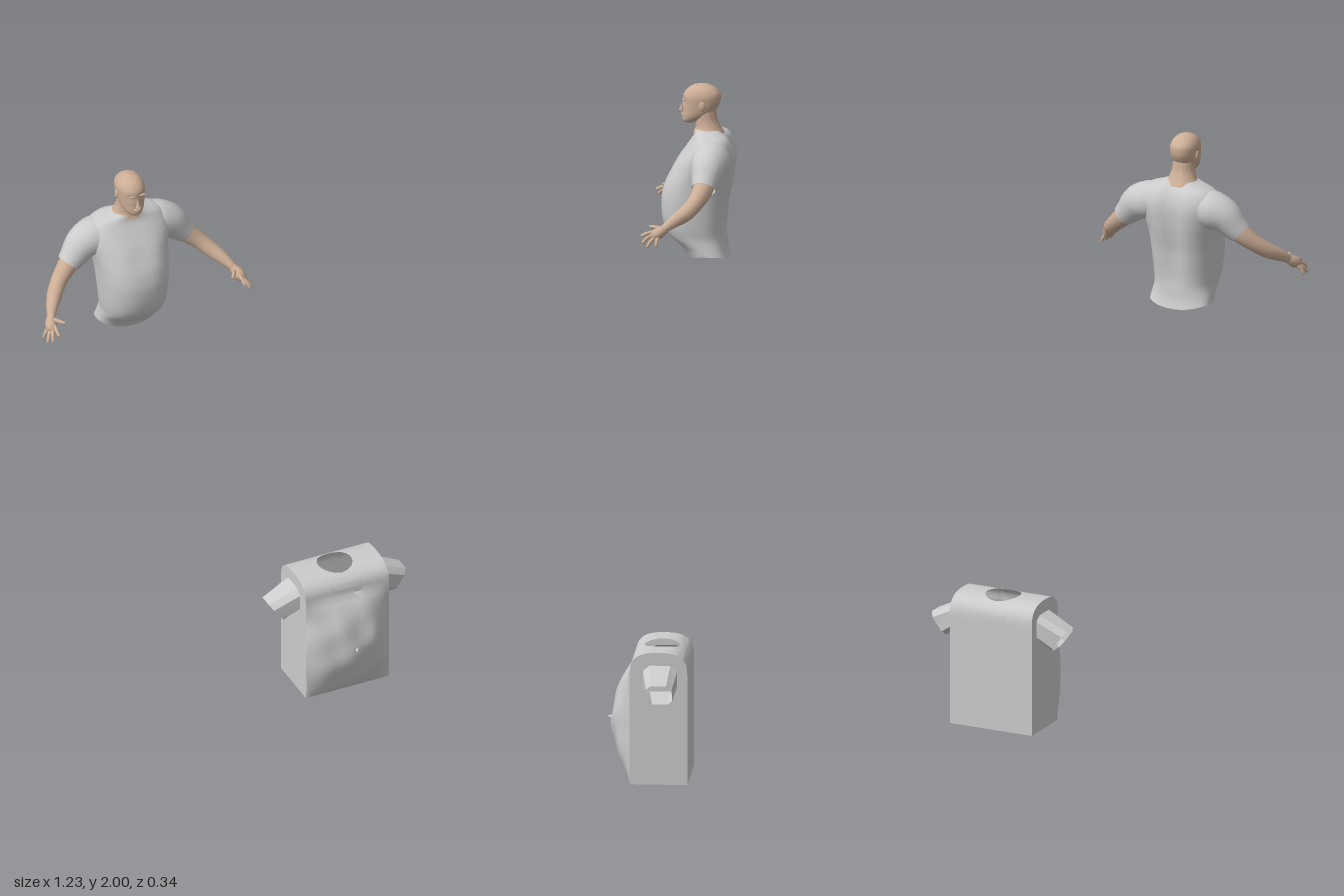
import * as THREE from 'three';
import { toCreasedNormals } from 'three/addons/utils/BufferGeometryUtils.js';

const cloth = new THREE.MeshStandardMaterial({ color: 0xcccccc, side: THREE.DoubleSide });
const skin = new THREE.MeshStandardMaterial({ color: 0xccae96, side: THREE.DoubleSide });

function add(parent, name, geometry, material) {
  const m = new THREE.Mesh(geometry, material);
  m.name = name;
  parent.add(m);
  return m;
}

// Surface through rows of [x, y, z] points; closed rows wrap round
function loft(rows, closed = true, crease = 1.2) {
  const n = rows[0].length, index = [];
  for (let i = 0; i < rows.length - 1; i++) {
    for (let j = 0; j < (closed ? n : n - 1); j++) {
      const k = (j + 1) % n, a = i * n + j, b = i * n + k;
      index.push(a, a + n, b, b, a + n, b + n);
    }
  }
  const g = new THREE.BufferGeometry();
  g.setAttribute('position', new THREE.Float32BufferAttribute(rows.flat(2), 3));
  g.setIndex(index);
  g.computeVertexNormals();
  return crease ? toCreasedNormals(g, crease) : g;
}

const sgnPow = (v, p) => Math.sign(v) * Math.abs(v) ** p;

// Horizontal rounded section: height, half width, front z, back z
function ring([y, w, zf, zb], e = 2, n = 32) {
  return Array.from({ length: n }, (_, i) => {
    const a = i / n * Math.PI * 2;
    return [w * sgnPow(Math.sin(a), 2 / e), y,
      (zf + zb) / 2 + (zf - zb) / 2 * sgnPow(Math.cos(a), 2 / e)];
  });
}

// Smoothly resample a table of section values
function smooth(table, steps) {
  const col = (c) => new THREE.CatmullRomCurve3(table.map((r) => new THREE.Vector3(r[c], r[c + 1], 0)));
  const A = col(0), B = col(2);
  return Array.from({ length: steps + 1 }, (_, i) => {
    const p = A.getPoint(i / steps), q = B.getPoint(i / steps);
    return [p.x, p.y, q.x, q.y];
  });
}

// Tapered limb through [x, y, z, radius] stations
function limb(stations, steps = 14, n = 14) {
  const pts = smooth(stations, steps);
  const P = pts.map((p) => new THREE.Vector3(p[0], p[1], p[2]));
  return loft(pts.map((p, i) => {
    const t = P[Math.min(i + 1, steps)].clone().sub(P[Math.max(i - 1, 0)]).normalize();
    const u = new THREE.Vector3(0, 0, 1).cross(t).normalize(), v = t.clone().cross(u);
    return Array.from({ length: n }, (_, j) => {
      const a = j / n * Math.PI * 2;
      return P[i].clone().addScaledVector(u, Math.cos(a) * p[3]).addScaledVector(v, Math.sin(a) * p[3]).toArray();
    });
  }), true, 0);
}

function blob(parent, name, pos, size) {
  const m = add(parent, name, new THREE.SphereGeometry(1, 14, 10), skin);
  m.position.set(...pos);
  m.scale.set(...size);
  return m;
}

function createPerson() {
  const g = new THREE.Group();
  g.name = 'person';

  // Shirt torso with belly, spine groove and dipped hem
  const torso = smooth([
    [1.48, .100, -.035, -.16], [1.50, .098, -.018, -.152], [1.53, .096, .025, -.149], [1.56, .1, .042, -.15],
    [1.60, .104, .05, -.155], [1.65, .108, .051, -.162], [1.70, .113, .038, -.171], [1.74, .122, .014, -.176],
    [1.78, .132, -.008, -.178], [1.81, .130, -.028, -.173], [1.837, .112, -.046, -.16],
    [1.852, .070, -.05, -.142], [1.862, .042, -.05, -.13],
  ], 36).map((r) => ring(r, 2.4, 40).map(([x, y, z]) => {
    const hem = Math.max(0, 1 - (y - 1.48) / .04), groove = Math.exp(-((x / .03) ** 2));
    const dip = .016 * (1 - Math.min(1, (x / .1) ** 2)) * hem;
    if (z < -.1) z += .015 * groove * Math.min(1, Math.max(0, (y - 1.52) * 8));
    else z += .006 * Math.exp(-(((Math.abs(x) - .05) / .03) ** 2) - (((y - 1.75) / .03) ** 2));
    return [x, y - dip, z];
  }));
  add(g, 'shirt', loft(torso, true, 0), cloth);

  // Bare body seen inside the hem
  const inner = [1, .5, .01].map((s, i) =>
    ring([1.492 + i * .008, .095 * s, -.095 + .06 * s, -.095 - .055 * s], 2.4));
  add(g, 'waist', loft(inner), skin);

  // Neck and head
  add(g, 'neck', loft(smooth([[1.848, .055, -.045, -.14], [1.868, .042, -.052, -.128],
    [1.89, .036, -.05, -.119], [1.92, .034, -.045, -.115]], 10).map((r) => ring(r))), skin);
  add(g, 'head', loft(smooth([
    [1.879, .004, -.03, -.036], [1.881, .017, -.018, -.05], [1.888, .025, -.012, -.072], [1.902, .034, -.012, -.098],
    [1.92, .039, -.014, -.116], [1.945, .042, -.014, -.128], [1.965, .0425, -.015, -.129],
    [1.983, .035, -.027, -.117], [1.995, .021, -.046, -.097], [2, .001, -.07, -.072],
  ], 28).map((r) => ring(r, 2.15).map(([x, y, z]) => {
    // Eye sockets
    const socket = Math.exp(-(((Math.abs(x) - .017) / .008) ** 2) - (((y - 1.943) / .007) ** 2));
    return [x, y, z > -.07 ? z - .006 * socket : z];
  })), true, 0), skin);
  const nose = add(g, 'nose', new THREE.ConeGeometry(.008, .03, 8), skin);
  nose.position.set(0, 1.931, -.012);
  nose.rotation.x = -.2;
  blob(g, 'upperLip', [0, 1.907, -.014], [.013, .003, .005]);
  blob(g, 'lowerLip', [0, 1.902, -.014], [.012, .003, .005]);

  for (const s of [1, -1]) {
    const side = s > 0 ? 'left' : 'right';
    const path = (stations) => stations.map(([x, y, z, r]) => [x * s, y, z, r]);
    blob(g, side + 'Ear', [s * .042, 1.936, -.075], [.005, .015, .01]);
    blob(g, side + 'Brow', [s * .016, 1.952, -.017], [.013, .003, .005]);
    add(g, side + 'Sleeve', limb(path([[.06, 1.79, -.108, .052], [.105, 1.782, -.106, .06],
      [.145, 1.768, -.101, .053], [.175, 1.738, -.095, .043], [.197, 1.716, -.09, .036]]), 16, 20), cloth);
    add(g, side + 'Arm', limb(path([[.17, 1.742, -.096, .034], [.2, 1.712, -.088, .031], [.235, 1.682, -.07, .026],
      [.265, 1.655, -.042, .024], [.288, 1.636, -.01, .019], [.305, 1.618, .018, .013]])), skin);
    // Hand: palm, then thumb and four fingers
    add(g, side + 'Palm', limb(path([[.303, 1.62, .014, .012], [.31, 1.611, .026, .016],
      [.316, 1.602, .041, .018], [.321, 1.594, .053, .012], [.323, 1.591, .057, .001]]), 10), skin);
    const fingers = [
      [[.303, 1.616, .03], [.291, 1.618, .053], [.279, 1.617, .069]],
      [[.310, 1.607, .05], [.312, 1.602, .073], [.312, 1.593, .092]],
      [[.317, 1.600, .052], [.325, 1.590, .073], [.331, 1.574, .086]],
      [[.322, 1.594, .048], [.334, 1.581, .062], [.342, 1.564, .071]],
      [[.324, 1.594, .038], [.336, 1.583, .042], [.343, 1.566, .043]],
    ];
    fingers.forEach(([a, b, c], i) => add(g, side + (i ? 'Finger' + i : 'Thumb'),
      limb(path([[...a, .007], [...b, .0058], [...c.map((v, k) => v + (b[k] - v) * .15), .0045], [...c, .0005]]), 8, 8), skin));
  }
  return g;
}

function createEmptyShirt() {
  const g = new THREE.Group();
  g.name = 'emptyShirt';
  const W = .139, D = .0875, zc = .0025, wall = .345, top = .41, neckR = .055;
  const roof = (z) => wall + (top - wall) * Math.max(0, 1 - Math.abs((z - zc) / D) ** 2.7) ** (1 / 2.7);

  // Columns across the shirt, matching the neck opening
  const cols = [];
  for (let i = 0; i <= 8; i++) cols.push(-W + (W - neckR) * i / 8);
  for (let i = 1; i < 8; i++) cols.push(-neckR * Math.cos(i / 8 * Math.PI));
  for (let i = 0; i <= 8; i++) cols.push(neckR + (W - neckR) * i / 8);

  // Front and back halves run from the hem over the roof to the neck edge
  for (const s of [1, -1]) {
    const panel = cols.map((x) => {
      const line = [], u = x / W;
      for (let i = 0; i <= 20; i++) {
        const y = wall * i / 20, v = i / 20;
        let z = zc + s * D, px = x;
        if (s > 0) { // Padded, wrinkled belly on the front
          const b = Math.sin(Math.PI * v) ** .75 * (1 - Math.abs(u) ** 2.6);
          z += b * (.062 + .004 * Math.sin(u * 9 + v * 5) + .003 * Math.sin(v * 17 - u * 4));
          if (u < 0 && u > -.999) px -= .028 * Math.max(0, -u - .4) * Math.sin(Math.PI * Math.min(1, v * 1.25)) ** .6;
        }
        line.push([px, y, z]);
      }
      const edge = Math.sqrt(Math.max(0, neckR ** 2 - x * x)) * s;
      for (let i = 1; i <= 12; i++) {
        const z = zc + s * D + (edge - zc - s * D) * (1 - Math.cos(i / 12 * Math.PI / 2));
        line.push([x, roof(z), z]);
      }
      return line;
    });
    add(g, s > 0 ? 'frontPanel' : 'backPanel', loft(panel, false, .7), cloth);
  }

  // Octagonal sleeve section, as [height, depth] factors
  const section = [[1, .6], [.6, 1], [-.6, 1], [-1, .6], [-1, -.6], [-.6, -1], [.6, -1], [1, -.6]];
  const rootAt = ([h, d]) => [.33 + .04 * h, -.002 + .052 * d];

  for (const s of [1, -1]) {
    const name = s > 0 ? 'left' : 'right';
    // Side wall with an armhole
    const shape = new THREE.Shape([new THREE.Vector2(zc + D, 0)]);
    shape.moveTo(zc + D, 0);
    for (let i = 0; i <= 24; i++) {
      const z = zc + D * Math.cos(i / 24 * Math.PI);
      shape.lineTo(z, roof(z));
    }
    shape.lineTo(zc - D, 0);
    shape.holes.push(new THREE.Path(section.map((p) => {
      const [y, z] = rootAt(p);
      return new THREE.Vector2(z, y);
    })));
    const side = add(g, name + 'SidePanel', new THREE.ShapeGeometry(shape), cloth);
    side.rotation.y = -Math.PI / 2;
    side.position.x = s * W;

    // Short open sleeve
    const root = section.map((p) => {
      const [y, z] = rootAt(p);
      return [s * W, y, z];
    });
    const cuff = section.map(([h, d]) => [s * (.204 + .025 * h), .293 + .034 * h, -.004 + .039 * d]);
    add(g, name + 'Sleeve', loft([root, cuff], true, .5), cloth);
  }

  // Small pinched fold at the navel
  const fold = add(g, 'navelFold', new THREE.ConeGeometry(.014, .035, 6), cloth);
  fold.position.set(.002, .178, .152);
  fold.rotation.set(1.5, 0, .3);
  return g;
}

export function createModel() {
  const model = new THREE.Group();
  model.name = 'personAndShirt';
  const person = createPerson(), shirt = createEmptyShirt();
  person.position.x = -.27;
  shirt.position.x = .384;
  model.add(person, shirt);
  return model;
}
